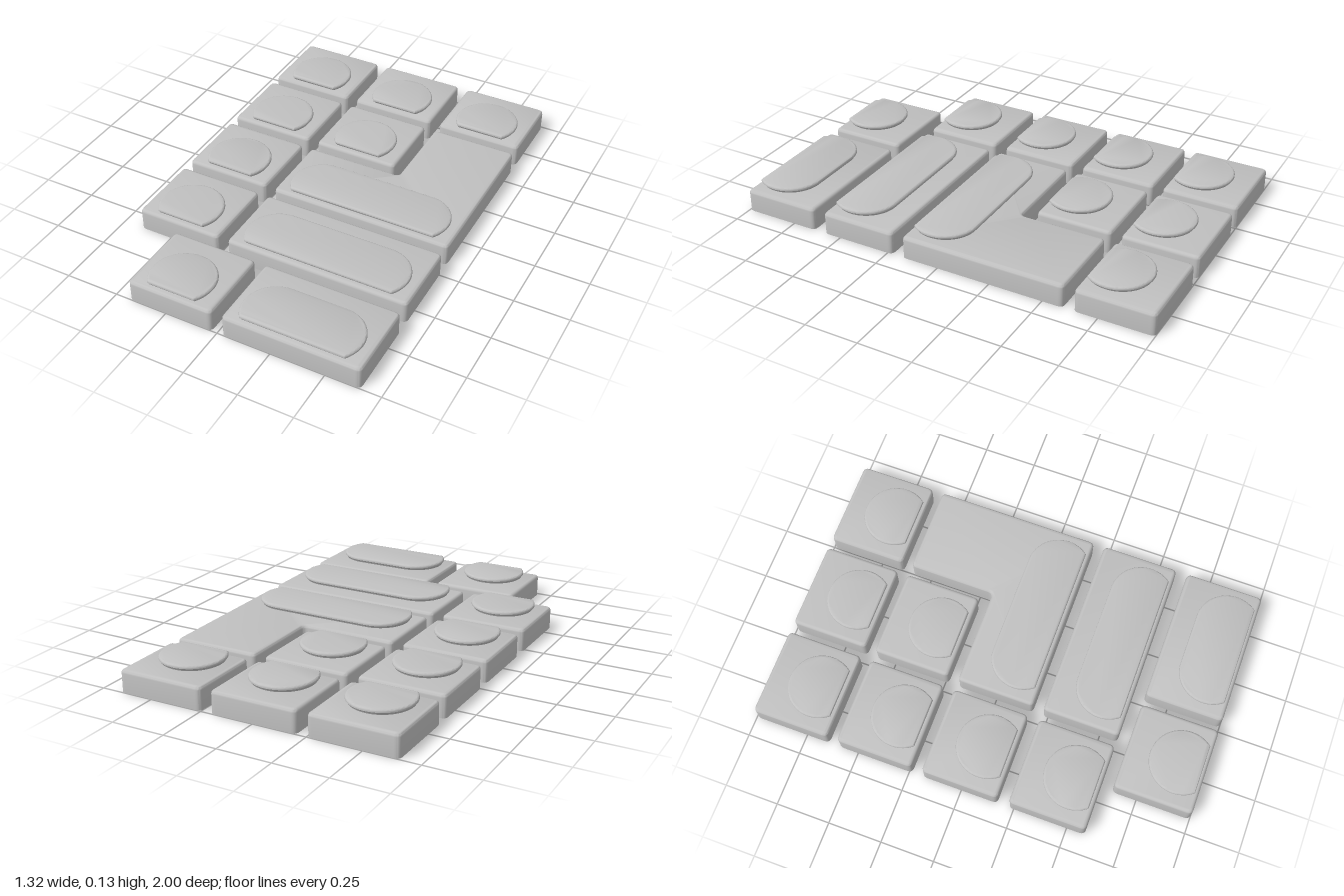
import * as THREE from 'three';
import { toCreasedNormals } from 'three/addons/utils/BufferGeometryUtils.js';

const KEY_TOP = 0.104, PAD_TOP = 0.13;

// Closed outline in (x, -z), counter-clockwise, without doubled points
function outline(shape, divisions) {
  const pts = shape.getPoints(divisions);
  return pts.filter((p, i) => p.distanceTo(pts[(i + 1) % pts.length]) > 1e-4);
}

// Polygon of [x, z] corners with softened vertical edges
function softPolygon(corners, r) {
  const v = corners.map(([x, z]) => new THREE.Vector2(x, -z));
  const shape = new THREE.Shape();
  v.forEach((p, i) => {
    const prev = v[(i + v.length - 1) % v.length], next = v[(i + 1) % v.length];
    const a = p.clone().add(prev.clone().sub(p).setLength(r));
    const b = p.clone().add(next.clone().sub(p).setLength(r));
    if (i === 0) shape.moveTo(a.x, a.y); else shape.lineTo(a.x, a.y);
    shape.quadraticCurveTo(p.x, p.y, b.x, b.y);
  });
  shape.closePath();
  return outline(shape, 5);
}

// Round-backed pad, cut straight along the front
function padOutline(x0, x1, front) {
  const r = 0.148, cut = 0.095, a = Math.asin(cut / r);
  const cy = -(front - cut);
  const shape = new THREE.Shape();
  shape.absarc(x1 - r, cy, r, -a, Math.PI / 2, false);
  shape.absarc(x0 + r, cy, r, Math.PI / 2, Math.PI + a, false);
  shape.closePath();
  return outline(shape, 20);
}

// Move an outline inwards with mitred corners
function inset(pts, d) {
  const n = pts.length;
  return pts.map((p, i) => {
    const e1 = p.clone().sub(pts[(i + n - 1) % n]).normalize();
    const e2 = pts[(i + 1) % n].clone().sub(p).normalize();
    const m = new THREE.Vector2(-e1.y - e2.y, e1.x + e2.x);
    return p.clone().addScaledVector(m, d / (1 + e1.dot(e2)));
  });
}

// Stack inset copies of an outline, given as [inset, y], and cap both ends
function slab(pts, layers) {
  const n = pts.length, pos = [], idx = [];
  for (const [d, y] of layers) for (const p of inset(pts, d)) pos.push(p.x, y, -p.y);
  for (let k = 0; k < layers.length - 1; k++) {
    for (let i = 0; i < n; i++) {
      const a = k * n + i, b = k * n + (i + 1) % n;
      idx.push(a, b, b + n, a, b + n, a + n);
    }
  }
  const last = (layers.length - 1) * n;
  for (const [a, b, c] of THREE.ShapeUtils.triangulateShape(inset(pts, layers.at(-1)[0]), [])) {
    idx.push(last + a, last + b, last + c);
  }
  for (const [a, b, c] of THREE.ShapeUtils.triangulateShape(pts, [])) idx.push(a, c, b);
  const g = new THREE.BufferGeometry();
  g.setAttribute('position', new THREE.Float32BufferAttribute(pos, 3));
  g.setIndex(idx);
  return toCreasedNormals(g, 0.6);
}

// Quarter-round top edge
function roundEdge(r, top) {
  return [0, 1, 2, 3, 4].map((i) => {
    const t = (i / 4) * Math.PI / 2;
    return [r * (1 - Math.cos(t)), top - r + r * Math.sin(t)];
  });
}

export function createModel() {
  const model = new THREE.Group();
  const grey = new THREE.MeshStandardMaterial({ color: 0xc0c0c0 });
  grey.name = 'light grey';

  const keyLayers = [[0, 0], ...roundEdge(0.016, KEY_TOP)];
  const padLayers = [[0.01, KEY_TOP - 0.006], [0.008, KEY_TOP + 0.003], [0, KEY_TOP + 0.012],
    ...roundEdge(0.01, PAD_TOP)];

  function addKey(name, corners, padX0, padX1, front) {
    const key = new THREE.Group();
    key.name = name;
    const base = new THREE.Mesh(slab(softPolygon(corners, 0.025), keyLayers), grey);
    base.name = 'keyBase';
    const pad = new THREE.Mesh(slab(padOutline(padX0, padX1, front - 0.018), padLayers), grey);
    pad.name = 'raisedPad';
    key.add(base, pad);
    model.add(key);
  }

  const rect = (x0, x1, z0, z1) => [[x0, z1], [x1, z1], [x1, z0], [x0, z0]];
  const depth = 0.359, width = 0.407;
  const rowBack = [-1, -0.595, -0.187, 0.225, 0.636];
  const columnLeft = [-0.658, -0.204, 0.251];

  // Small keys as [left edge, row]
  const small = [
    [columnLeft[0], 0], [columnLeft[1], 0], [columnLeft[2], 0],
    [columnLeft[0], 1], [columnLeft[1], 1],
    [columnLeft[0], 2], [columnLeft[0], 3], [-0.432, 4],
  ];
  for (const [x, row] of small) {
    const z0 = rowBack[row], z1 = row === 4 ? 1 : z0 + depth;
    addKey('smallKey', rect(x, x + width, z0, z1), x + 0.055, x + width - 0.055, z1);
  }

  // Wide keys
  addKey('wideKey', rect(-0.204, 0.658, rowBack[3], rowBack[3] + depth), -0.16, 0.613, rowBack[3] + depth);
  addKey('mediumKey', rect(0.022, 0.658, rowBack[4], 1), 0.067, 0.613, 1);

  // L-shaped key
  const front = 0.176;
  addKey('cornerKey', [
    [-0.204, front], [0.658, front], [0.658, rowBack[1]],
    [0.251, rowBack[1]], [0.251, rowBack[2]], [-0.204, rowBack[2]],
  ], -0.16, 0.613, front);

  return model;
}
